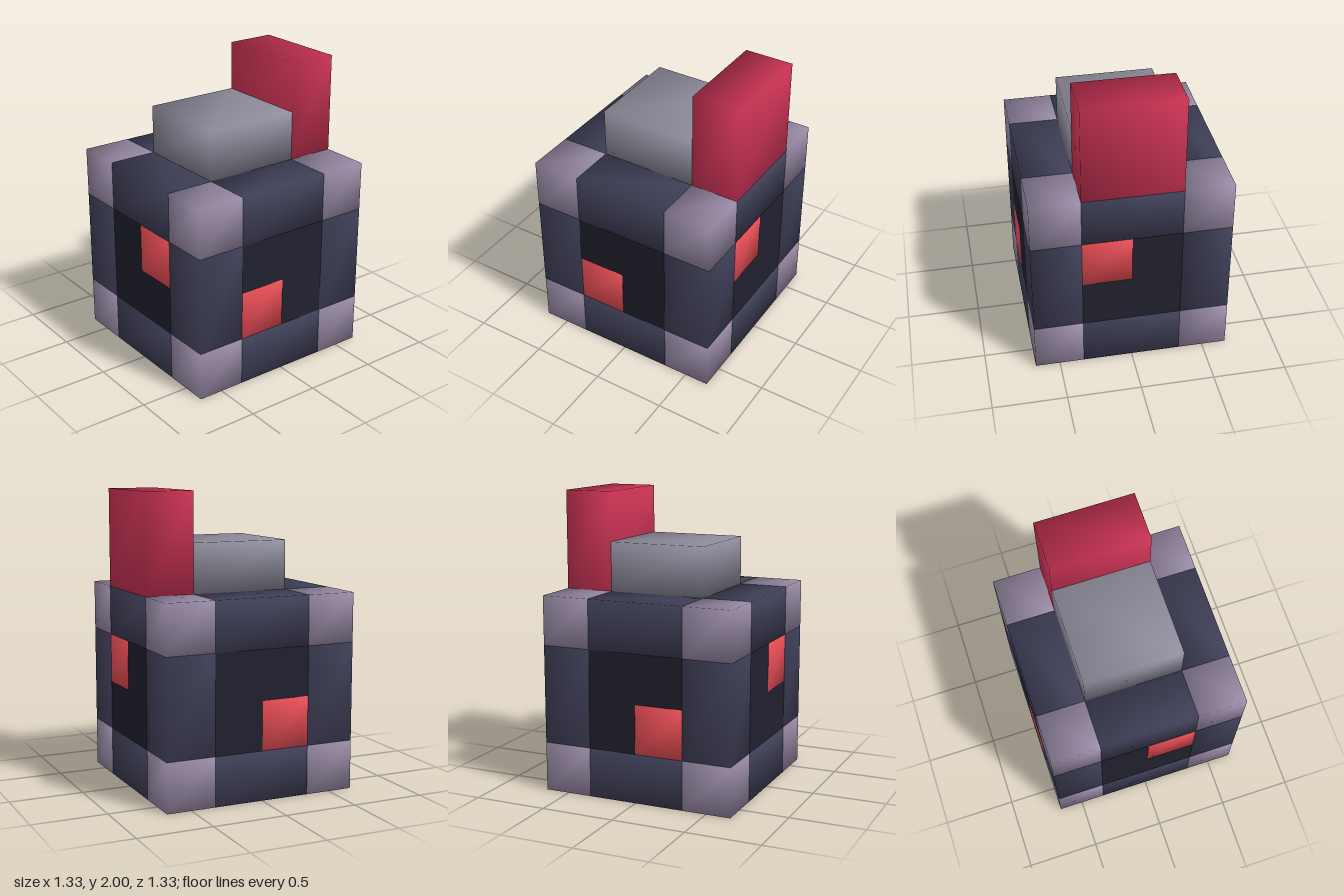
import * as THREE from 'three';
import { mergeVertices } from 'three/addons/utils/BufferGeometryUtils.js';

const U = 1 / 3; // block unit: the body is a 4 x 4 x 4 cube of units
const MID = 2 * U; // height of the body centre

const mat = (color) => new THREE.MeshStandardMaterial({ color });
const frameMat = mat(0x3f3f58);
const cornerMat = mat(0x9a8ca8);
const panelMat = mat(0x21212f);
const eyeMat = mat(0xee5058);
const capMat = mat(0x8f8c9c);
const crestMat = mat(0xcc3355);

// Box sized in units, with soft normals shared across its edges
function block(name, material, w, h, d, x, y, z) {
  let geo = new THREE.BoxGeometry(w * U, h * U, d * U);
  geo.deleteAttribute('uv');
  geo.deleteAttribute('normal');
  geo = mergeVertices(geo);
  geo.computeVertexNormals();
  const mesh = new THREE.Mesh(geo, material);
  mesh.name = name;
  mesh.position.set(x * U, y * U, z * U);
  return mesh;
}

// Side panel facing +z with one quadrant (sx, sy) taken by an eye
function sidePanel(name, sx, sy, angle) {
  const side = new THREE.Group();
  side.name = name;
  const outline = [[0, 0], [sx, 0], [sx, -sy], [-sx, -sy], [-sx, sy], [0, sy]];
  const shape = new THREE.Shape(outline.map(([x, y]) => new THREE.Vector2(x * U, y * U)));
  const panel = new THREE.Mesh(
    new THREE.ExtrudeGeometry(shape, { depth: U, bevelEnabled: false }), panelMat);
  panel.name = 'panel';
  panel.position.z = U;
  side.add(panel, block('eye', eyeMat, 1, 1, 1, sx / 2, sy / 2, 1.5));
  side.rotation.y = angle;
  return side;
}

export function createModel() {
  const model = new THREE.Group();
  model.name = 'blockCreature';

  const body = new THREE.Group();
  body.name = 'body';
  body.position.y = MID;
  model.add(body);

  // Corner cubes and the frame bars between them
  for (const a of [-1.5, 1.5]) {
    for (const b of [-1.5, 1.5]) {
      for (const c of [-1.5, 1.5]) body.add(block('corner', cornerMat, 1, 1, 1, a, b, c));
      body.add(block('frameBarX', frameMat, 2, 1, 1, 0, a, b));
      body.add(block('frameBarY', frameMat, 1, 2, 1, a, 0, b));
      body.add(block('frameBarZ', frameMat, 1, 1, 2, a, b, 0));
    }
  }

  // Floor and roof plates
  body.add(block('floorPlate', frameMat, 2, 1, 2, 0, -1.5, 0));
  body.add(block('roofPlate', frameMat, 2, 1, 2, 0, 1.5, 0));

  // Dark side panels with their eyes
  body.add(sidePanel('frontSide', -1, -1, 0));
  body.add(sidePanel('leftSide', -1, 1, Math.PI / 2));
  body.add(sidePanel('backSide', 1, -1, Math.PI));
  body.add(sidePanel('rightSide', 1, 1, -Math.PI / 2));

  // Cap and tall crest standing on the roof
  body.add(block('cap', capMat, 2, 1, 2, 0, 2.5, 0));
  body.add(block('crest', crestMat, 1, 2, 2, 1.5, 3, 0));

  return model;
}
